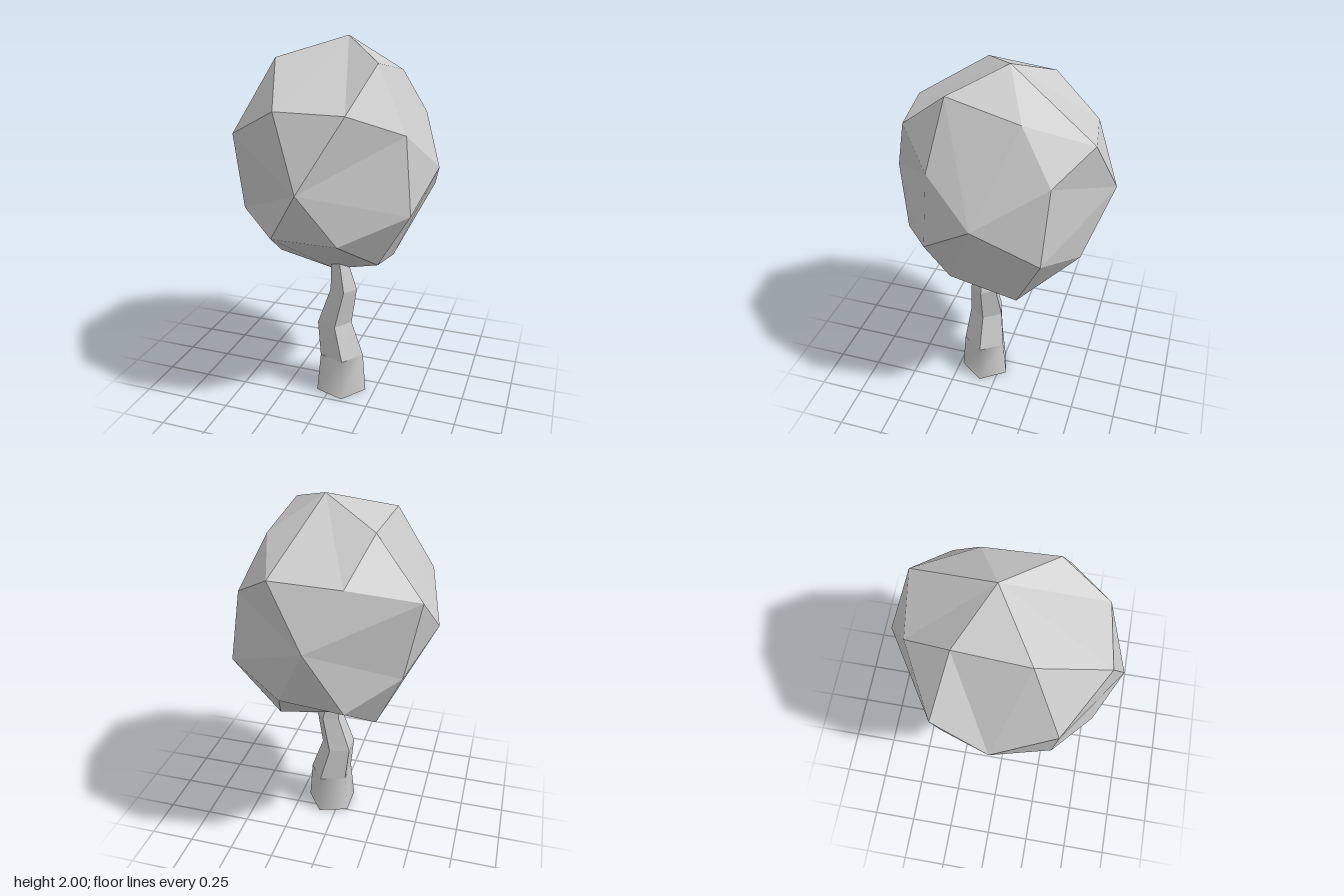
import * as THREE from 'three';

const material = new THREE.MeshStandardMaterial({ color: 0xcccccc, flatShading: true });
const smoothMaterial = new THREE.MeshStandardMaterial({ color: 0xcccccc });
const PHI = (1 + Math.sqrt(5)) / 2;
const V = (a) => new THREE.Vector3(...a);

function makeMesh(name, points, index, smooth = false) {
  let geometry = new THREE.BufferGeometry();
  geometry.setAttribute('position', new THREE.Float32BufferAttribute(points.flat(), 3));
  geometry.setIndex(index);
  if (!smooth) geometry = geometry.toNonIndexed();
  geometry.computeVertexNormals();
  const mesh = new THREE.Mesh(geometry, smooth ? smoothMaterial : material);
  mesh.name = name;
  return mesh;
}

// All sign variants of a direction, positive first
function signs([x, y, z]) {
  const both = (v) => (v ? [v, -v] : [0]);
  return both(x).flatMap((a) => both(y).flatMap((b) => both(z).map((c) => [a, b, c])));
}

// Crown corners: regular directions, each with its uneven position (same order as signs())
const corners = [
  [[1, 0, 0], [[0.55, 1.36, 0], [-0.55, 1.34, 0]]],
  [[0, 1, 0], [[0.04, 2, -0.05], [-0.02, 0.71, 0.01]]],
  [[0, 0, 1], [[-0.01, 1.33, 0.6], [0, 1.4, -0.6]]],
  [[0.309, 0.5, 0.809], [
    [0.19, 1.69, 0.46], [0.19, 1.71, -0.51], [0.16, 1.05, 0.49], [0.17, 1.05, -0.47],
    [-0.15, 1.7, 0.51], [-0.16, 1.68, -0.46], [-0.19, 1.05, 0.49], [-0.17, 1.03, -0.48]]],
  [[0.809, 0.309, 0.5], [
    [0.43, 1.57, 0.25], [0.4, 1.57, -0.35], [0.47, 1.17, 0.27], [0.47, 1.17, -0.33],
    [-0.46, 1.53, 0.32], [-0.5, 1.58, -0.28], [-0.42, 1.13, 0.3], [-0.42, 1.16, -0.28]]],
  [[0.5, 0.809, 0.309], [
    [0.27, 1.9, 0.2], [0.3, 1.82, -0.18], [0.29, 0.86, 0.21], [0.28, 0.77, -0.16],
    [-0.28, 1.9, 0.16], [-0.25, 1.875, -0.21], [-0.27, 0.86, 0.18], [-0.27, 0.81, -0.18]]],
];

// Crown: pentagons and triangles found by the corners nearest each face direction
function makeCrown() {
  const dirs = corners.flatMap(([d]) => signs(d).map(V));
  const points = corners.flatMap(([, p]) => p);
  const index = [];
  const addFace = (direction, count) => {
    const n = V(direction).normalize();
    const ids = dirs.map((_, i) => i).sort((a, b) => dirs[b].dot(n) - dirs[a].dot(n)).slice(0, count);
    const u = dirs[ids[0]].clone().addScaledVector(n, -dirs[ids[0]].dot(n)).normalize();
    const w = n.clone().cross(u);
    const angle = (i) => (Math.atan2(dirs[i].dot(w), dirs[i].dot(u)) + 2 * Math.PI + 0.01) % (2 * Math.PI);
    ids.sort((a, b) => angle(a) - angle(b));
    for (let k = 1; k < count - 1; k++) index.push(ids[0], ids[k], ids[k + 1]);
  };
  for (const d of [[0, PHI, 1], [1, 0, PHI], [PHI, 1, 0]]) signs(d).forEach((s) => addFace(s, 5));
  for (const d of [[1, 1, 1], [1 / PHI, PHI, 0], [0, 1 / PHI, PHI], [PHI, 0, 1 / PHI]]) {
    signs(d).forEach((s) => addFace(s, 3));
  }
  return makeMesh('crown', points, index);
}

// Five-sided cross-section of the trunk
const SIDES = 5;
const ring = ([y, cx, r]) => Array.from({ length: SIDES }, (_, i) => {
  const a = (i / SIDES) * Math.PI * 2;
  return [cx + r * Math.cos(a), y, 0.09 - r * Math.sin(a)];
});

function loft(name, sections, smooth) {
  const index = [];
  for (let s = 0; s < sections.length - 1; s++) {
    for (let i = 0; i < SIDES; i++) {
      const j = (i + 1) % SIDES;
      const a = s * SIDES + i, b = s * SIDES + j;
      index.push(a, b, b + SIDES, a, b + SIDES, a + SIDES);
    }
  }
  return makeMesh(name, sections.flatMap(ring), index, smooth);
}

export function createModel() {
  const group = new THREE.Group();
  group.name = 'tree';
  // Trunk sections: height, centre x, radius
  const foot = [0, 0.05, 0.148], knee = [0.23, 0.053, 0.127];
  group.add(
    makeCrown(),
    loft('trunkBase', [foot, knee], true),
    loft('trunk', [knee, [0.43, 0.01, 0.1], [0.64, 0.063, 0.077], [0.84, 0.033, 0.041]], false),
    makeMesh('trunkUnderside', ring(foot), [0, 2, 1, 0, 3, 2, 0, 4, 3]),
  );
  return group;
}
